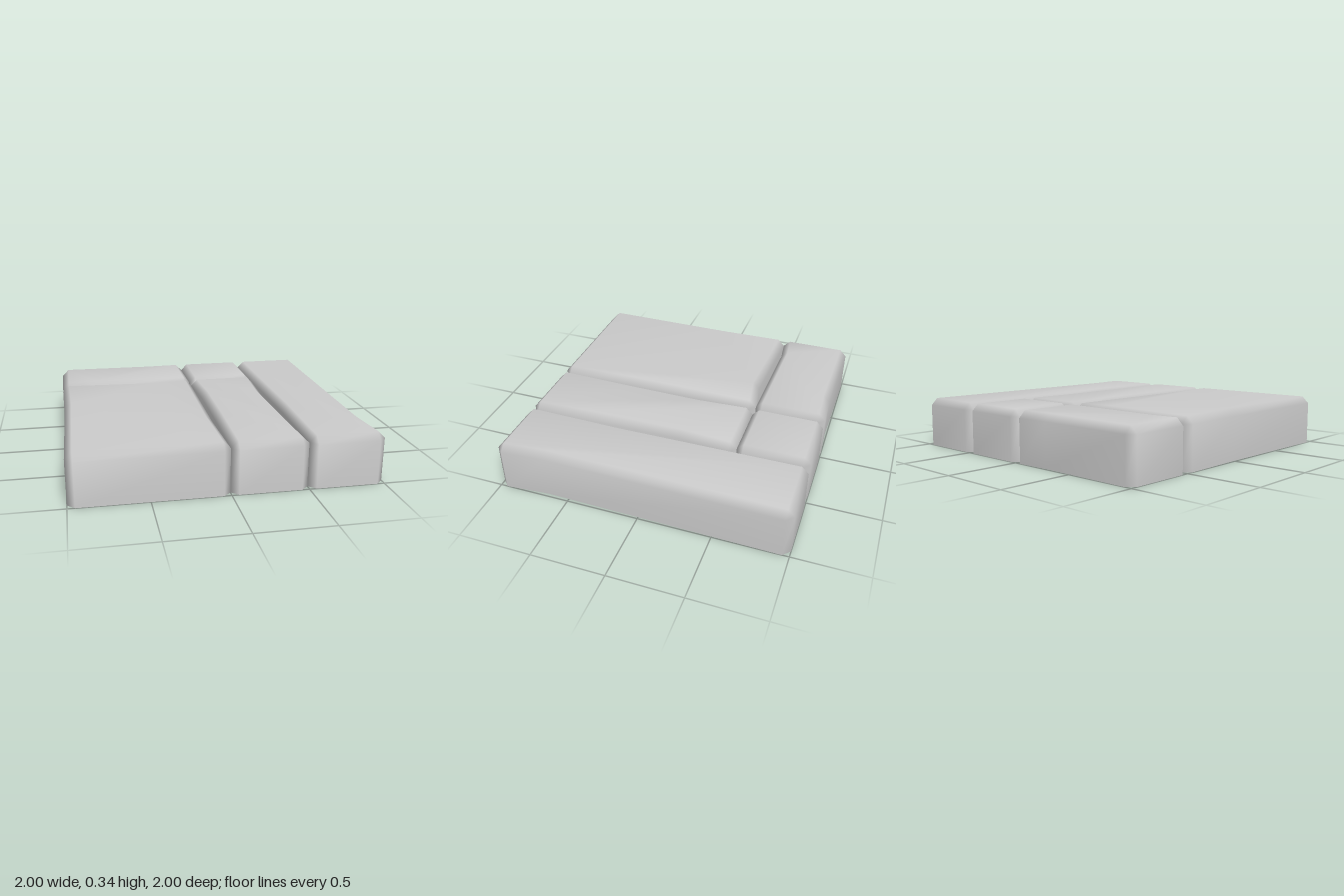
import * as THREE from 'three';
import { mergeVertices } from 'three/addons/utils/BufferGeometryUtils.js';

const HEIGHT = 0.34;
const BEVEL = 0.047;

const material = new THREE.MeshStandardMaterial({ color: 0xcccccc, side: THREE.DoubleSide });

// Hollow paving stone, open below. Each side may hold dents: [position along the side, inward depth].
function stone(name, x0, x1, z0, z1, dents) {
  const outer = [], inner = [];
  // x, z on the outline; nx, nz is the inward direction
  const add = (x, z, nx, nz) => {
    outer.push([x, z]);
    inner.push([x + nx * BEVEL, z + nz * BEVEL]);
  };
  const { front = [], right = [], back = [], left = [] } = dents;
  const b = BEVEL;

  // Outline, running anticlockwise seen from above
  for (const [x, d] of [[x0 + b, 0], ...front, [x1 - b, 0]]) add(x, z1 - d, 0, -1);
  for (const [z, d] of [[z1 - b, 0], ...right, [z0 + b, 0]]) add(x1 - d, z, -1, 0);
  for (const [x, d] of [[x1 - b, 0], ...back, [x0 + b, 0]]) add(x, z0 + d, 0, 1);
  for (const [z, d] of [[z0 + b, 0], ...left, [z1 - b, 0]]) add(x0 + d, z, 1, 0);

  // Three rings: foot, shoulder, and the inset edge of the top face
  const n = outer.length;
  const positions = [], index = [];
  for (const [ring, y] of [[outer, 0], [outer, HEIGHT - BEVEL], [inner, HEIGHT]]) {
    for (const [x, z] of ring) positions.push(x, y, z);
  }
  for (let r = 0; r < 2; r++) {
    for (let i = 0; i < n; i++) {
      const a = r * n + i, c = r * n + (i + 1) % n;
      index.push(a, c, c + n, a, c + n, a + n);
    }
  }

  // Top face
  const contour = inner.map(([x, z]) => new THREE.Vector2(x, -z));
  for (const face of THREE.ShapeUtils.triangulateShape(contour, [])) {
    index.push(...face.map((i) => i + 2 * n));
  }

  let geometry = new THREE.BufferGeometry();
  geometry.setAttribute('position', new THREE.Float32BufferAttribute(positions, 3));
  geometry.setIndex(index);
  geometry = mergeVertices(geometry, 1e-4);
  geometry.computeVertexNormals();
  const mesh = new THREE.Mesh(geometry, material);
  mesh.name = name;
  return mesh;
}

export function createModel() {
  const group = new THREE.Group();
  group.name = 'pavingStones';
  group.add(
    stone('wideBackStone', -1, 0, -1, -0.5, {
      front: [[-0.78, 0.018]],
      back: [[-0.28, 0.012]],
    }),
    stone('squareBackStone', 0, 0.5, -1, -0.5, {}),
    stone('longStone', 0.5, 1, -1, 1, {
      right: [[0.65, 0.024]],
      left: [[0.3, 0.012]],
    }),
    stone('largeStone', -1, 0, -0.5, 1, {
      right: [[0.45, 0.012]],
      back: [[-0.28, 0.036]],
      left: [[0, 0.01]],
    }),
    stone('narrowStone', 0, 0.5, -0.5, 1, {
      right: [[0.6, 0.012], [-0.1, 0.022]],
      left: [[-0.1, 0.02], [0.4, 0.014]],
    }),
  );
  return group;
}
